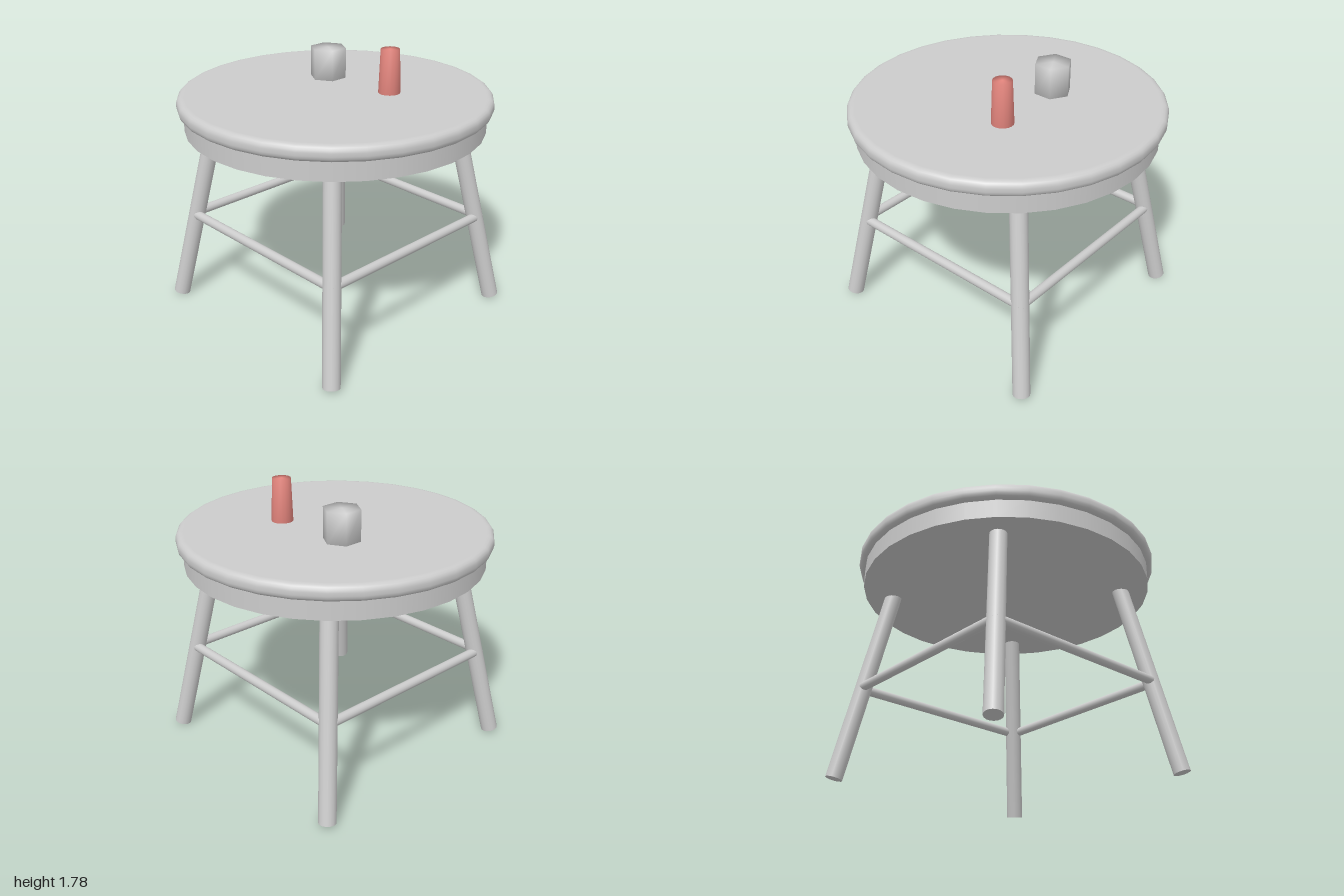
import * as THREE from 'three';
import { mergeVertices } from 'three/addons/utils/BufferGeometryUtils.js';

const grey = new THREE.MeshStandardMaterial({ color: 0xcccccc });
const red = new THREE.MeshStandardMaterial({ color: 0xe88880 });

function add(parent, name, geometry, material = grey) {
  const mesh = new THREE.Mesh(geometry, material);
  mesh.name = name;
  parent.add(mesh);
  return mesh;
}

// Share corners so shading flows softly over the edges
function soften(geometry) {
  geometry.deleteAttribute('normal');
  geometry.deleteAttribute('uv');
  const merged = mergeVertices(geometry);
  merged.computeVertexNormals();
  return merged;
}

// Round bar between two points
function bar(parent, name, a, b, radius) {
  const axis = new THREE.Vector3().subVectors(b, a);
  const mesh = add(parent, name, new THREE.CylinderGeometry(radius, radius, axis.length(), 16));
  mesh.position.copy(a).add(b).multiplyScalar(0.5);
  mesh.quaternion.setFromUnitVectors(new THREE.Vector3(0, 1, 0), axis.normalize());
  return mesh;
}

export function createModel() {
  const model = new THREE.Group();

  // Tabletop disc with a rounded rim
  const profile = [new THREE.Vector2(0, 1.4), new THREE.Vector2(0.95, 1.4)];
  const r = 0.04;
  for (const [cy, start] of [[1.4 + r, -Math.PI / 2], [1.5 - r, 0]]) {
    for (let i = 0; i <= 4; i++) {
      const t = start + (i / 4) * (Math.PI / 2);
      profile.push(new THREE.Vector2(1 - r + r * Math.cos(t), cy + r * Math.sin(t)));
    }
  }
  profile.push(new THREE.Vector2(0.95, 1.5), new THREE.Vector2(0, 1.5));
  add(model, 'tabletop', new THREE.LatheGeometry(profile, 32));

  // Apron under the top
  add(model, 'apron', new THREE.CylinderGeometry(0.96, 0.96, 0.12, 32)).position.y = 1.34;

  // Four splayed legs
  for (const sx of [-1, 1]) {
    for (const sz of [-1, 1]) {
      const foot = new THREE.Vector3(0.765 * sx, 0.013, 0.765 * sz);
      const head = new THREE.Vector3(0.545 * sx, 1.31, 0.545 * sz);
      bar(model, 'leg', foot, head, 0.055);
    }
  }

  // Four stretchers forming a square
  const c = 0.68, e = 0.69, y = 0.62;
  for (const s of [-1, 1]) {
    bar(model, 'stretcher', new THREE.Vector3(-e, y, c * s), new THREE.Vector3(e, y, c * s), 0.03);
    bar(model, 'stretcher', new THREE.Vector3(c * s, y, -e), new THREE.Vector3(c * s, y, e), 0.03);
  }

  // Six-sided cup and a slim tapered candle on the table
  add(model, 'cup', soften(new THREE.CylinderGeometry(0.12, 0.12, 0.2, 6)))
    .position.set(-0.24, 1.6, -0.165);
  add(model, 'candle', soften(new THREE.CylinderGeometry(0.06, 0.07, 0.28, 16)), red)
    .position.set(0.28, 1.64, -0.2);

  return model;
}
